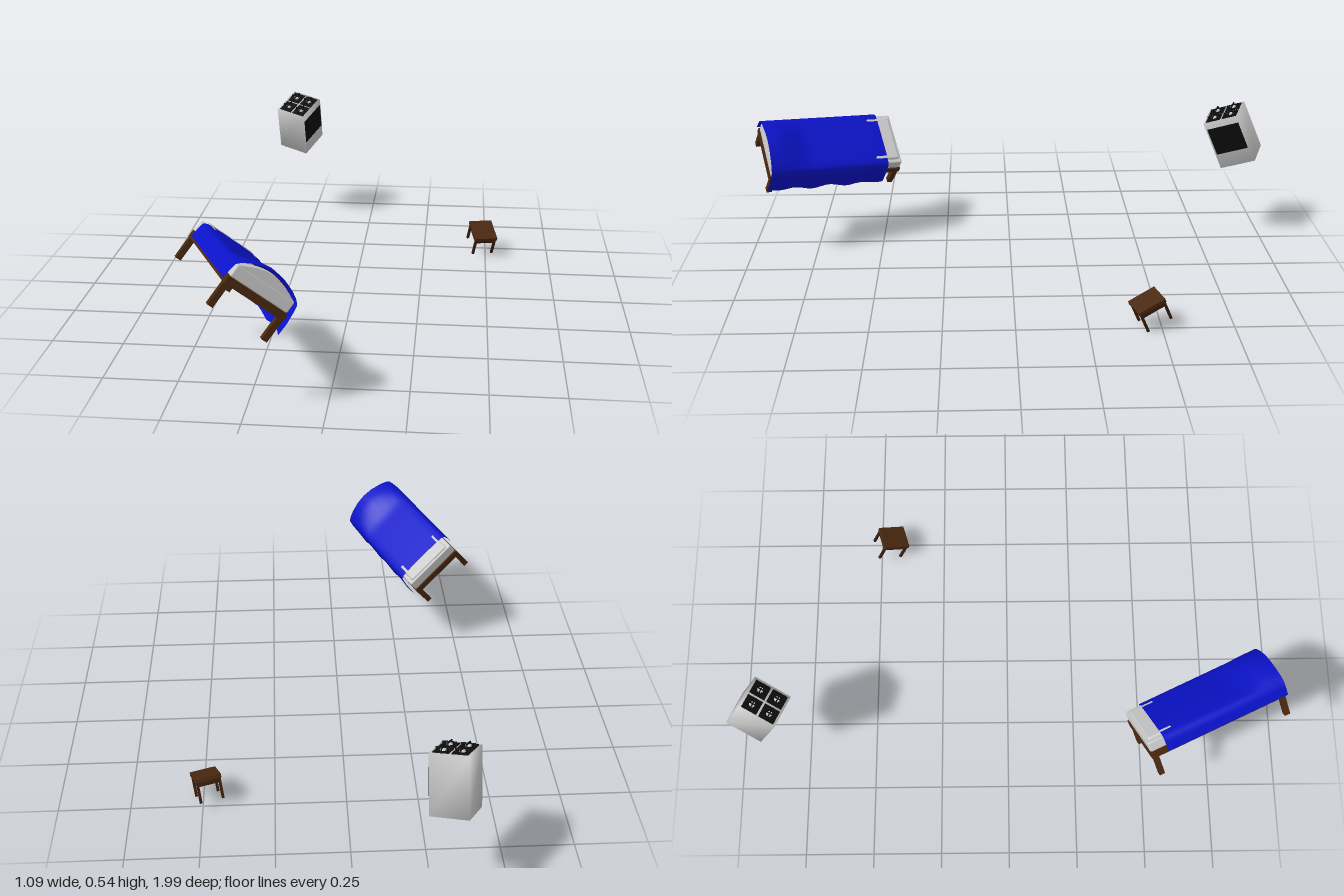
import * as THREE from 'three';
import { mergeVertices } from 'three/addons/utils/BufferGeometryUtils.js';
import { RoundedBoxGeometry } from 'three/addons/geometries/RoundedBoxGeometry.js';

const material = (color, extra = {}) => new THREE.MeshStandardMaterial({ color, ...extra });
const wood = material(0x4a2810);
const darkWood = material(0x3a1e0c);
const grey = material(0xcccccc);
const black = material(0x0c0c0c);
const blue = material(0x0a12c8, { side: THREE.DoubleSide });

function add(group, name, geometry, mat, x = 0, y = 0, z = 0) {
  const mesh = new THREE.Mesh(geometry, mat);
  mesh.name = name;
  mesh.position.set(x, y, z);
  group.add(mesh);
  return mesh;
}

const box = (w, h, d) => new THREE.BoxGeometry(w, h, d);

// Tilts a piece of furniture by its own up and forward directions
function place(group, origin, up, forward) {
  const y = new THREE.Vector3(...up).normalize();
  const x = new THREE.Vector3().crossVectors(y, new THREE.Vector3(...forward)).normalize();
  const z = new THREE.Vector3().crossVectors(x, y);
  group.quaternion.setFromRotationMatrix(new THREE.Matrix4().makeBasis(x, y, z));
  group.position.set(...origin);
  return group;
}

function addLegs(group, x, z, height, thick, mat) {
  for (const sx of [-1, 1]) for (const sz of [-1, 1]) {
    add(group, 'leg', box(thick, height, thick), mat, sx * x, height / 2, sz * z);
  }
}

// Blanket: a cross-section swept along the bed, humped at the foot
function blanketGeometry() {
  const section = [[-0.125, 0.092], [-0.122, 0.125], [-0.118, 0.146], [-0.105, 0.154], [-0.08, 0.156],
    [-0.04, 0.157], [0, 0.157], [0.04, 0.157], [0.08, 0.156], [0.105, 0.153], [0.118, 0.145],
    [0.123, 0.12], [0.127, 0.08], [0.129, 0.042]];
  const rows = 24;
  const geo = new THREE.PlaneGeometry(1, 1, section.length - 1, rows);
  const pos = geo.attributes.position;
  for (let i = 0; i < pos.count; i++) {
    const col = i % section.length;
    const t = Math.floor(i / section.length) / rows;
    const z = -0.2 + 0.462 * t;
    let [x, y] = section[col];
    const hump = THREE.MathUtils.smoothstep(z, 0.1, 0.22);
    if (Math.abs(x) < 0.115) y += 0.034 * hump * Math.cos((x / 0.115) * Math.PI / 2);
    // Gentle folds along the hanging hem
    if (col === section.length - 1) { y += 0.004 * Math.sin(t * 17); x += 0.004 * Math.sin(t * 23); }
    pos.setXYZ(i, x, y, z);
  }
  geo.computeVertexNormals();
  return geo;
}

function createBed() {
  const bed = new THREE.Group();
  bed.name = 'bed';
  addLegs(bed, 0.103, 0.245, 0.09, 0.02, wood);
  add(bed, 'bedFrame', box(0.226, 0.026, 0.52), wood, 0, 0.093, 0);
  add(bed, 'mattress', new RoundedBoxGeometry(0.22, 0.042, 0.515, 2, 0.006), grey, 0, 0.127, 0);
  add(bed, 'pillow', new RoundedBoxGeometry(0.19, 0.02, 0.1, 3, 0.009), grey, 0, 0.146, -0.2);

  // Padding that fills the hump at the foot end
  const arch = new THREE.Shape();
  arch.moveTo(-0.105, 0.12);
  for (let i = 0; i <= 16; i++) {
    const x = -0.105 + 0.21 * i / 16;
    arch.lineTo(x, 0.147 + 0.032 * Math.cos((x / 0.105) * Math.PI / 2));
  }
  arch.lineTo(0.105, 0.12);
  add(bed, 'footPadding', new THREE.ExtrudeGeometry(arch, { depth: 0.03, bevelEnabled: false }), grey, 0, 0, 0.226);

  add(bed, 'blanket', blanketGeometry(), blue);
  return place(bed, [-0.36, 0.3, 0.73], [0.564, 0.76, -0.324], [0.204, 0.043, 0.455]);
}

function createStove() {
  const W = 0.141, H = 0.199, D = 0.128;
  const stove = new THREE.Group();
  stove.name = 'stove';

  // Body with normals shared across its edges for soft shading
  let body = box(W, H, D);
  body.deleteAttribute('normal');
  body.deleteAttribute('uv');
  body = mergeVertices(body);
  body.computeVertexNormals();
  add(stove, 'stoveBody', body, grey);
  add(stove, 'ovenDoor', box(W * 0.9, H * 0.56, 0.004), black, 0, H * 0.09, D / 2 + 0.001);

  // Four hob plates, each with a burner and a raised grate
  for (const sx of [-1, 1]) for (const sz of [-1, 1]) {
    const burner = new THREE.Group();
    burner.name = 'burner';
    burner.position.set(sx * 0.033, H / 2, sz * 0.03);
    add(burner, 'hobPlate', box(0.058, 0.003, 0.052), black, 0, 0.001, 0);
    add(burner, 'burnerCap', new THREE.CylinderGeometry(0.009, 0.011, 0.006, 12), grey, 0, 0.005, 0);
    for (const s of [-1, 1]) {
      add(burner, 'grateFoot', box(0.004, 0.012, 0.004), black, s * 0.021, 0.006, 0);
      add(burner, 'grateFoot', box(0.004, 0.012, 0.004), black, 0, 0.006, s * 0.021);
    }
    add(burner, 'grateBar', box(0.046, 0.003, 0.004), black, 0, 0.0115, 0);
    add(burner, 'grateBar', box(0.004, 0.003, 0.046), black, 0, 0.0115, 0);
    stove.add(burner);
  }
  return place(stove, [-0.312, 0.415, -0.876], [0, 0.182, 0.08], [0.116, -0.021, 0.048]);
}

function createStool() {
  const stool = new THREE.Group();
  stool.name = 'stool';
  addLegs(stool, 0.039, 0.045, 0.076, 0.009, darkWood);
  add(stool, 'apron', box(0.08, 0.018, 0.092), darkWood, 0, 0.067, 0);
  add(stool, 'seat', box(0.092, 0.013, 0.104), wood, 0, 0.082, 0);
  return place(stool, [0.4765, 0.027, -0.478], [0.147, 0.908, 0.388], [0.023, -0.039, 0.082]);
}

export function createModel() {
  const model = new THREE.Group();
  model.name = 'floatingFurniture';
  model.add(createBed(), createStove(), createStool());
  return model;
}
